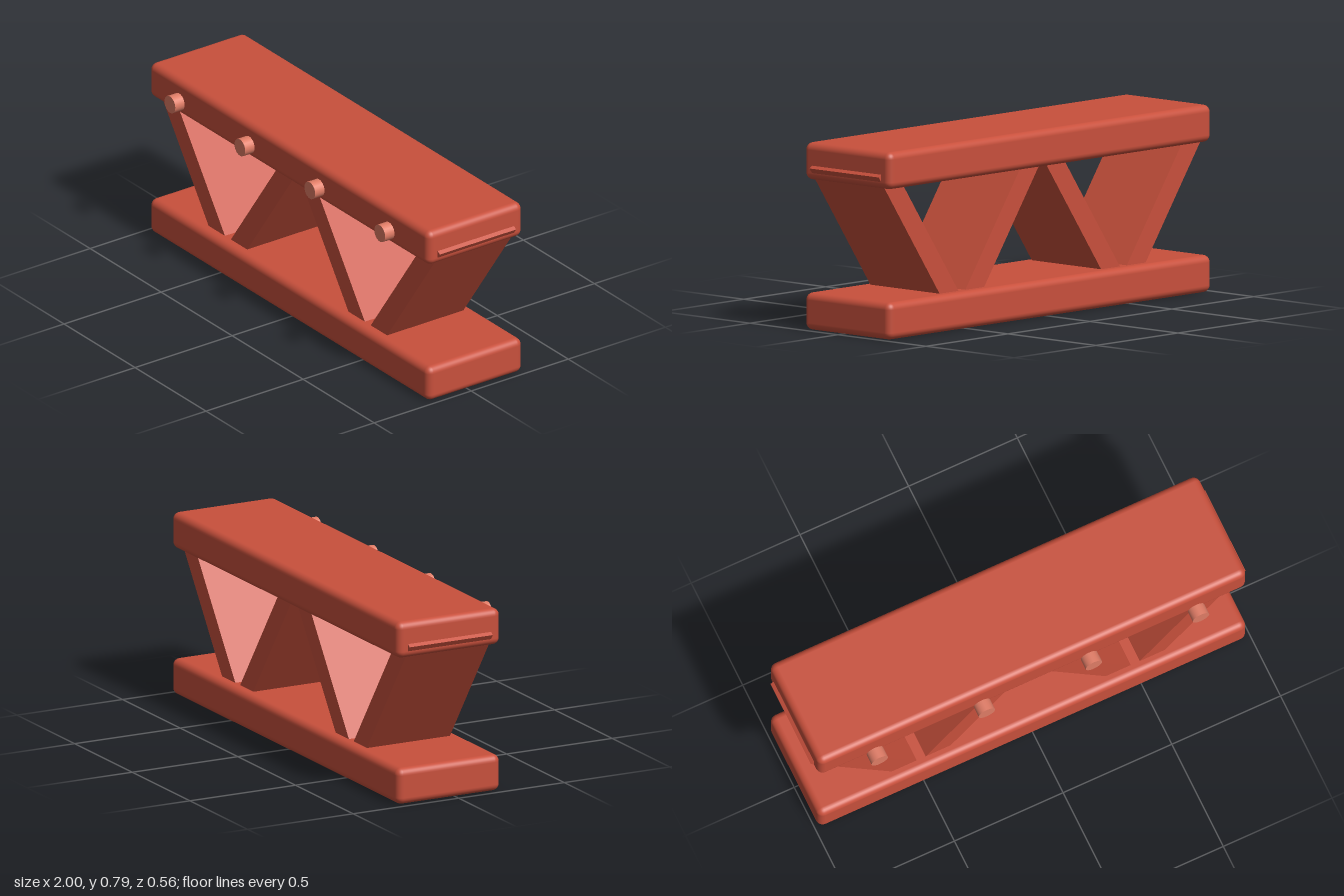
import * as THREE from 'three';
import { RoundedBoxGeometry } from 'three/addons/geometries/RoundedBoxGeometry.js';

export function createModel() {
  const model = new THREE.Group();
  model.name = 'trussBeam';
  const red = new THREE.MeshStandardMaterial({ color: 0xc8503c });
  const lightRed = new THREE.MeshStandardMaterial({ color: 0xe07c66 });
  const midZ = -0.035;

  const add = (name, geometry, material, x, y, z) => {
    const mesh = new THREE.Mesh(geometry, material);
    mesh.name = name;
    mesh.position.set(x, y, z);
    model.add(mesh);
    return mesh;
  };

  // Rounded chords at the bottom and top
  const chord = new RoundedBoxGeometry(1.97, 0.156, 0.49, 4, 0.03);
  add('bottomChord', chord, red, 0, 0.078, midZ);
  add('topChord', chord, red, 0, 0.709, midZ);

  // Zigzag diagonals and a free-standing peg in front of each bay
  const diagonal = new THREE.BoxGeometry(0.772, 0.094, 0.393);
  const peg = new THREE.CylinderGeometry(0.038, 0.038, 0.048, 24).rotateX(Math.PI / 2);
  const tilt = Math.atan2(0.475, 0.335);
  for (let i = 0; i < 4; i++) {
    const x = (i - 1.5) * 0.4925;
    add('diagonal' + (i + 1), diagonal, red, x, 0.394, midZ).rotation.z = i % 2 ? tilt : -tilt;
    add('peg' + (i + 1), peg, lightRed, x, 0.71, 0.256);
  }
  return model;
}
